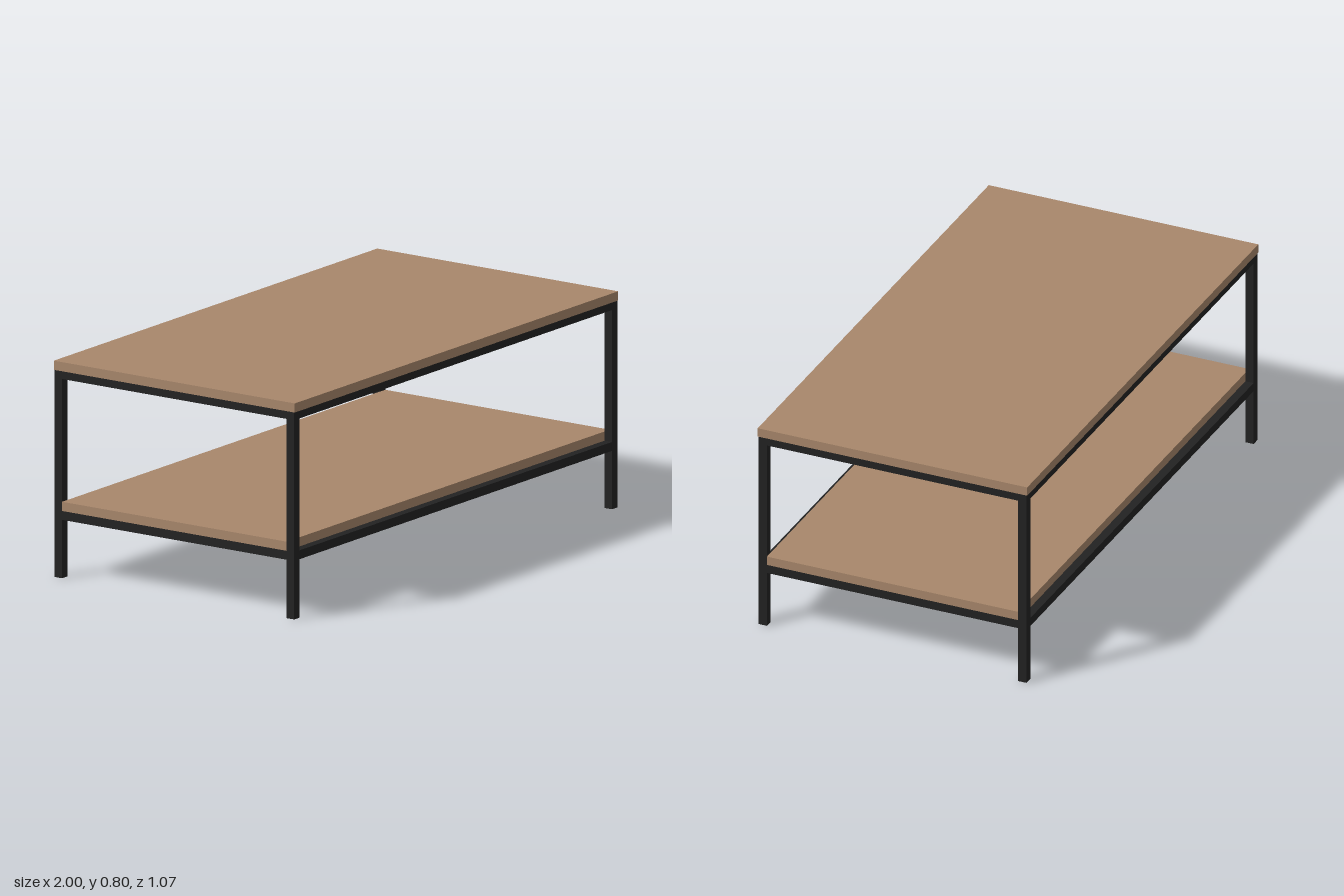
import * as THREE from 'three';

export function createModel() {
  const model = new THREE.Group();
  model.name = 'coffeeTable';
  const wood = new THREE.MeshStandardMaterial({ color: 0xa8876b });
  wood.name = 'wood';
  const metal = new THREE.MeshStandardMaterial({ color: 0x222222 });
  metal.name = 'blackMetal';

  const T = 0.033;            // square tube width
  const X = 0.999, Z = 0.53;  // outer half sizes of the frame

  // box given by its centre in x and z and its bottom and top heights
  function box(name, material, w, d, y0, y1, x = 0, z = 0) {
    const mesh = new THREE.Mesh(new THREE.BoxGeometry(w, y1 - y0, d), material);
    mesh.name = name;
    mesh.position.set(x, (y0 + y1) / 2, z);
    model.add(mesh);
  }

  // Boards: the top covers the frame, the shelf sits between the legs
  box('tableTop', wood, 2, 2 * 0.533, 0.769, 0.803);
  box('shelf', wood, 2 * X, 2 * (Z - T), 0.25, 0.284);

  // Legs
  for (const sx of [-1, 1])
    for (const sz of [-1, 1])
      box('leg', metal, T, T, 0, 0.769, sx * (X - T / 2), sz * (Z - T / 2));

  // Rails below each board
  for (const [name, y0, y1] of [['upper', 0.74, 0.769], ['lower', 0.217, 0.25]])
    for (const s of [-1, 1]) {
      box(name + 'LongRail', metal, 2 * (X - T), T, y0, y1, 0, s * (Z - T / 2));
      box(name + 'EndRail', metal, T, 2 * (Z - T), y0, y1, s * (X - T / 2), 0);
    }

  return model;
}
